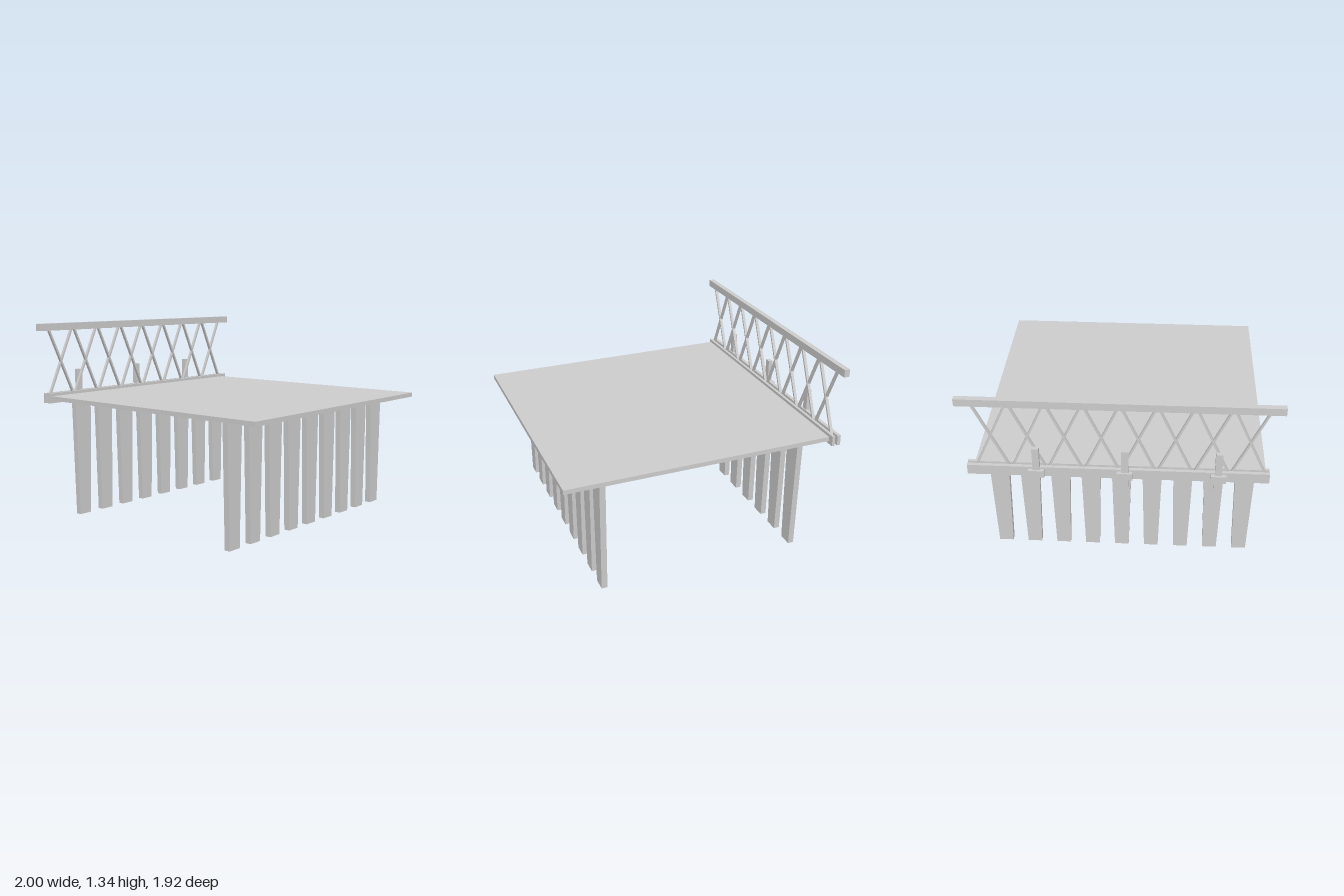
import * as THREE from 'three';

const material = new THREE.MeshStandardMaterial({ color: 0xcccccc, flatShading: true });

export function createModel() {
  const model = new THREE.Group();
  model.name = 'deckWithRailing';

  const add = (name, geometry, x = 0, y = 0, z = 0) => {
    const mesh = new THREE.Mesh(geometry, material);
    mesh.name = name;
    mesh.position.set(x, y, z);
    model.add(mesh);
    return mesh;
  };
  // Box given by its min and max along each axis
  const block = (name, [x0, x1], [y0, y1], [z0, z1]) =>
    add(name, new THREE.BoxGeometry(x1 - x0, y1 - y0, z1 - z0),
      (x0 + x1) / 2, (y0 + y1) / 2, (z0 + z1) / 2);

  // Deck slab
  block('deck', [-0.92, 0.92], [0.8, 0.83], [-0.88, 0.96]);

  // Two rows of tapered legs, narrower at the foot
  const legShape = new THREE.Shape([
    new THREE.Vector2(-0.048, 0), new THREE.Vector2(0.048, 0),
    new THREE.Vector2(0.068, 0.8), new THREE.Vector2(-0.068, 0.8),
  ]);
  const legGeometry = new THREE.ExtrudeGeometry(legShape, { depth: 0.04, bevelEnabled: false });
  for (const [name, z] of [['frontLeg', 0.68], ['backLeg', -0.7]]) {
    for (let i = 0; i < 9; i++) add(name, legGeometry, -0.814 + i * 0.203, 0, z);
  }

  // Handrail and the two boards that clamp the lattice
  block('handrail', [-1, 1], [1.29, 1.34], [-0.922, -0.884]);
  block('innerBoard', [-0.94, 0.96], [0.78, 0.85], [-0.892, -0.872]);
  block('outerBoard', [-0.94, 0.96], [0.78, 0.85], [-0.934, -0.91]);

  // Crossed slats between boards and handrail
  const lean = Math.atan2(0.198, 0.44);
  const slatGeometry = new THREE.BoxGeometry(0.013, 0.52, 0.02);
  for (let i = 0; i < 8; i++) {
    for (const side of [-1, 1]) {
      const slat = add('latticeSlat', slatGeometry, -0.807 + i * 0.229, 1.068, -0.902 + side * 0.002);
      slat.rotation.z = side * lean;
    }
  }

  // Short posts strapped to the outer board
  for (const x of [-0.62, -0.037, 0.52]) {
    block('post', [x - 0.022, x + 0.022], [0.725, 1], [-0.947, -0.918]);
    block('postBracket', [x - 0.05, x + 0.05], [0.787, 0.838], [-0.96, -0.93]);
  }

  return model;
}
